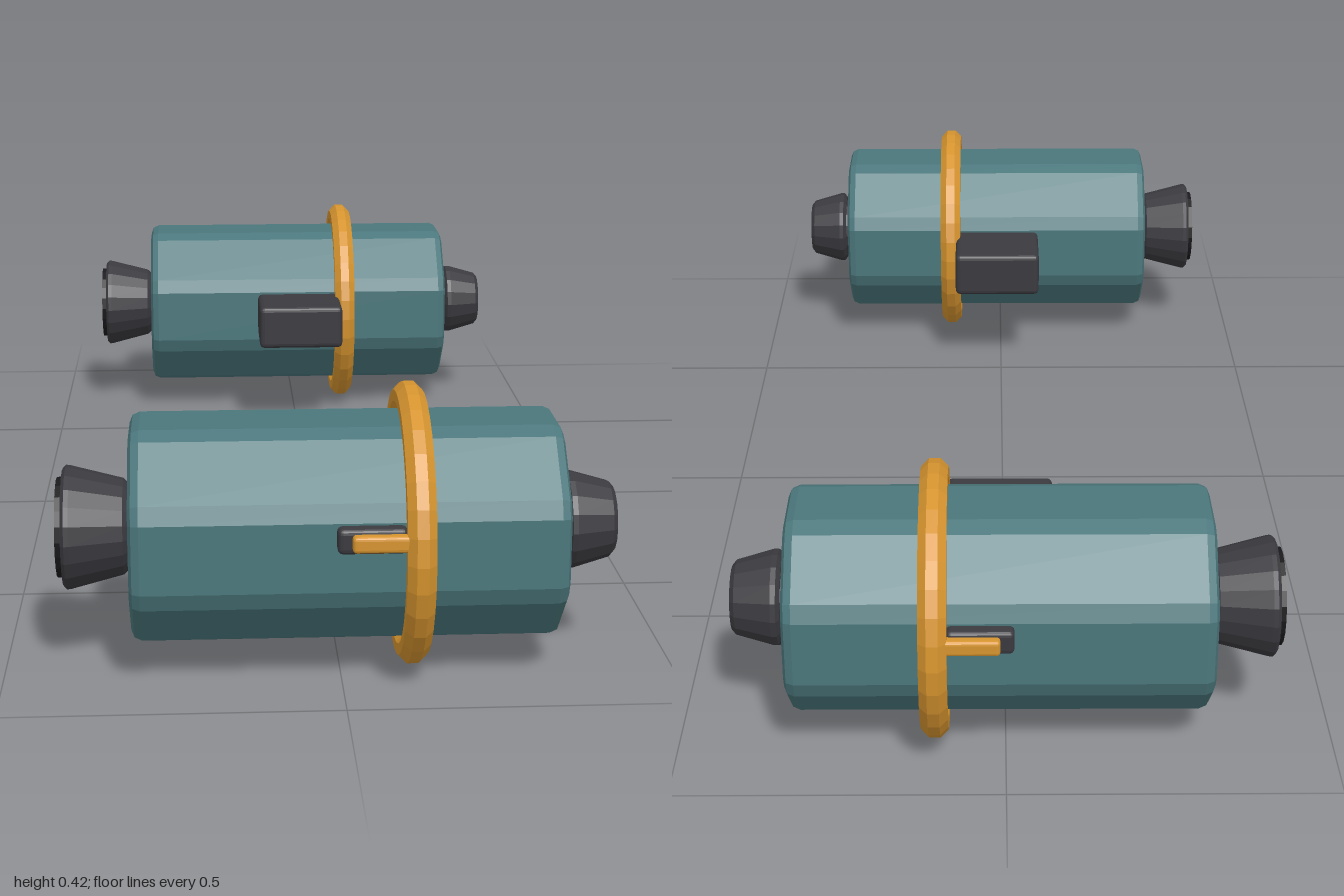
import * as THREE from 'three';
import { RoundedBoxGeometry } from 'three/addons/geometries/RoundedBoxGeometry.js';

const mat = (color) => new THREE.MeshStandardMaterial({ color, flatShading: true });
const teal = mat(0x4b777c);
const gold = mat(0xd6942f);
const dark = mat(0x3a3a3f);
const black = mat(0x1a1a1c);

function add(parent, name, geometry, material, x = 0, y = 0, z = 0) {
  const mesh = new THREE.Mesh(geometry, material);
  mesh.name = name;
  mesh.position.set(x, y, z);
  parent.add(mesh);
}

// Solid of revolution about the x axis from [x, radius] pairs, listed from -x to +x
function turned(profile, sides) {
  const points = profile.map(([x, r]) => new THREE.Vector2(r, x));
  return new THREE.LatheGeometry(points, sides).rotateZ(-Math.PI / 2);
}

// Octagonal barrel with eased long edges and bevelled ends
function barrelGeometry(x0, x1, half) {
  const bevel = 0.016;
  const r = (half - bevel) / Math.cos(Math.PI / 8);
  const corner = (i) => {
    const a = Math.PI / 8 + (i * Math.PI) / 4;
    return new THREE.Vector2(r * Math.cos(a), r * Math.sin(a));
  };
  const points = [];
  for (let i = 0; i < 8; i++) {
    const c = corner(i);
    points.push(c.clone().lerp(corner(i - 1), 0.1), c.clone().lerp(corner(i + 1), 0.1));
  }
  const geometry = new THREE.ExtrudeGeometry(new THREE.Shape(points), {
    depth: x1 - x0 - 2 * bevel,
    bevelEnabled: true,
    bevelSize: bevel,
    bevelThickness: bevel,
    bevelSegments: 2,
  });
  return geometry.rotateY(Math.PI / 2).translate(x0 + bevel, 0, 0);
}

// One pod; side is +1 for the front pod and -1 for the back pod
function createPod(side) {
  const pod = new THREE.Group();
  pod.name = side > 0 ? 'frontPod' : 'backPod';
  pod.position.set(0, 0.213, side * 0.788);

  add(pod, 'barrel', barrelGeometry(-0.31, 0.328, 0.163), teal);

  // Flared nozzle with its dark outlet
  add(pod, 'nozzle', turned([
    [-0.41, 0], [-0.41, 0.088], [-0.405, 0.093], [-0.398, 0.092],
    [-0.32, 0.072], [-0.312, 0.064], [-0.3, 0.06], [-0.3, 0],
  ], 20), dark);
  add(pod, 'nozzleOutlet', turned([[-0.419, 0], [-0.419, 0.075], [-0.4, 0.075], [-0.4, 0]], 20), black);

  // Tapered nose on a short neck
  add(pod, 'noseNeck', turned([[0.31, 0], [0.31, 0.061], [0.35, 0.061], [0.35, 0]], 16), dark);
  add(pod, 'nose', turned([
    [0.338, 0], [0.338, 0.066], [0.344, 0.074], [0.352, 0.074],
    [0.408, 0.058], [0.415, 0.05], [0.415, 0],
  ], 16), dark);

  // Ring around the barrel, with an eight-sided section
  const tube = 0.0225;
  const section = Array.from({ length: 9 }, (_, i) => {
    const a = Math.PI / 8 - (i * Math.PI) / 4;
    return [-tube * Math.sin(a), 0.191 + tube * Math.cos(a)];
  }).reverse();
  add(pod, 'ring', turned(section.reverse(), 32), gold, 0.107);

  // Pylon on the inner side
  add(pod, 'pylon', new RoundedBoxGeometry(0.174, 0.088, 0.16, 2, 0.01), dark, 0.008, 0.004, -side * 0.22);

  // Strut and its mount on the outer side
  add(pod, 'strutMount', new RoundedBoxGeometry(0.1, 0.038, 0.03, 2, 0.008), dark, 0.038, 0.03, side * 0.168);
  add(pod, 'strut', new RoundedBoxGeometry(0.095, 0.025, 0.02, 2, 0.006), gold, 0.056, 0.03, side * 0.188);
  return pod;
}

export function createModel() {
  const model = new THREE.Group();
  model.name = 'podPair';
  for (const side of [1, -1]) model.add(createPod(side));
  return model;
}
